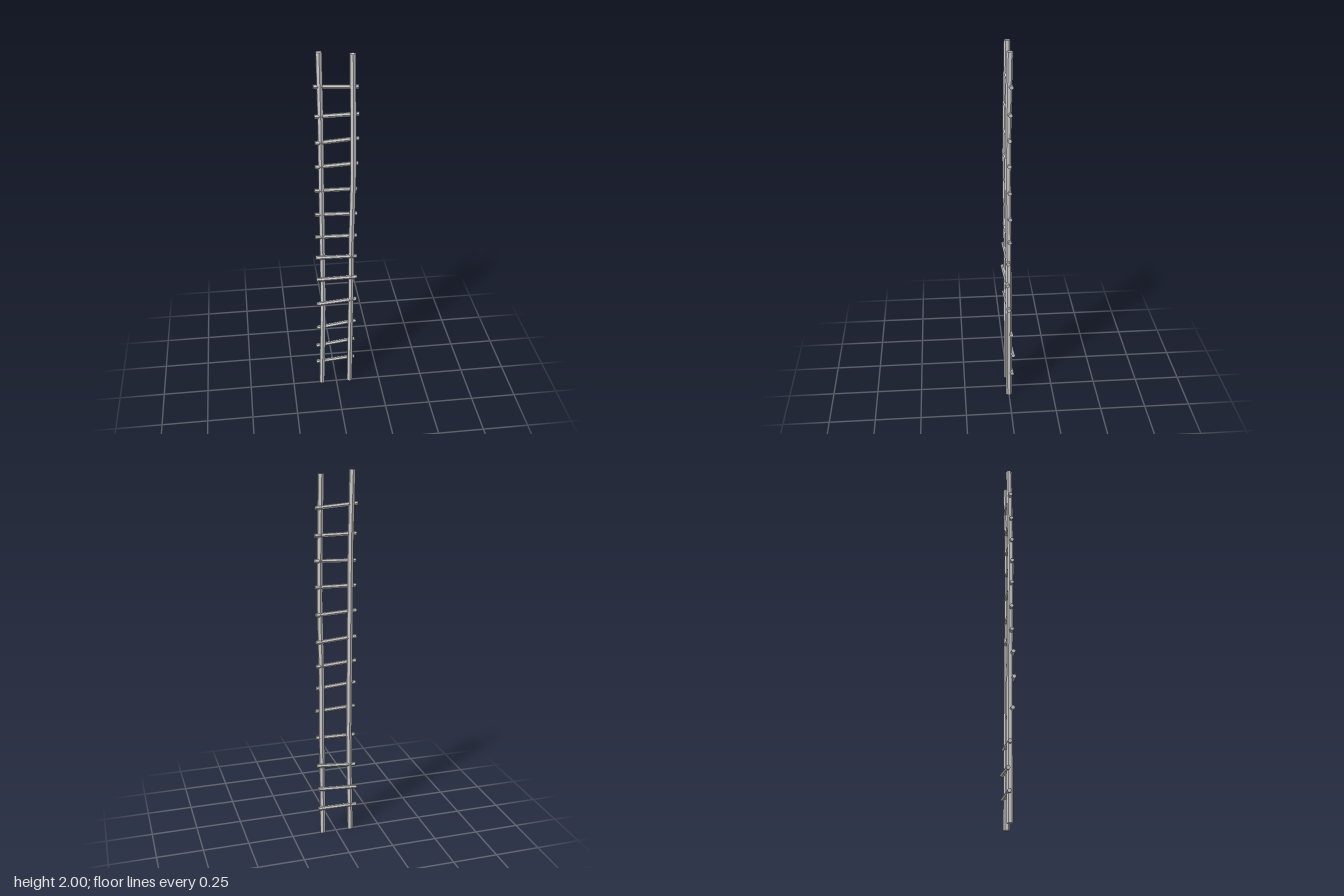
import * as THREE from 'three';

const material = new THREE.MeshStandardMaterial({ color: 0xcccccc, flatShading: true });

// Six-sided pole whose cross-sections follow a list of centres [x, y, z]
function makeRail(name, path, radius) {
  const geo = new THREE.CylinderGeometry(radius, radius, 1, 6, path.length - 1);
  const pos = geo.attributes.position;
  for (let i = 0; i < pos.count; i++) {
    const k = Math.round((pos.getY(i) + 0.5) * (path.length - 1));
    const [x, y, z] = path[k];
    pos.setXYZ(i, pos.getX(i) + x, y, pos.getZ(i) + z);
  }
  geo.computeVertexNormals();
  const mesh = new THREE.Mesh(geo, material);
  mesh.name = name;
  return mesh;
}

// Six-sided bar between two points
function makeRung(name, a, b, radius) {
  const dir = b.clone().sub(a);
  const geo = new THREE.CylinderGeometry(radius, radius, dir.length(), 6);
  const mesh = new THREE.Mesh(geo, material);
  mesh.position.copy(a).add(b).multiplyScalar(0.5);
  mesh.quaternion.setFromUnitVectors(new THREE.Vector3(0, 1, 0), dir.normalize());
  mesh.name = name;
  return mesh;
}

export function createModel() {
  const ladder = new THREE.Group();
  ladder.name = 'ladder';

  // Slightly crooked side rails
  ladder.add(makeRail('rightRail', [
    [-0.085, 0, 0], [-0.079, 0.3, 0.001], [-0.074, 0.6, 0.002], [-0.076, 0.95, 0.003],
    [-0.079, 1.4, 0.007], [-0.079, 1.65, 0.004], [-0.084, 2, -0.003],
  ], 0.0165));
  ladder.add(makeRail('leftRail', [
    [0.077, 0, 0], [0.078, 0.3, 0.001], [0.08, 0.6, 0.002], [0.079, 0.95, 0.003],
    [0.085, 1.35, 0.007], [0.082, 1.65, 0.004], [0.077, 1.985, -0.003],
  ], 0.0165));

  // Uneven rungs: height at -x end, height at +x end, depth, sideways shift
  const rungs = [
    [0.15, 0.16, -0.01, -0.005], [0.262, 0.283, -0.016, -0.004], [0.397, 0.42, -0.006, 0],
    [0.57, 0.58, 0.008, 0], [0.737, 0.732, 0.015, 0], [0.875, 0.863, 0.011, -0.003],
    [1.0, 0.988, 0.004, -0.003], [1.135, 1.121, 0.002, -0.003], [1.276, 1.268, 0.004, -0.003],
    [1.41, 1.415, 0.006, 0], [1.541, 1.551, 0.005, 0.002], [1.68, 1.68, 0.002, 0.001],
    [1.832, 1.818, -0.003, -0.003],
  ];
  rungs.forEach(([yRight, yLeft, z, shift], i) => {
    ladder.add(makeRung(`rung${i + 1}`,
      new THREE.Vector3(shift - 0.111, yRight, z + 0.006),
      new THREE.Vector3(shift + 0.111, yLeft, z - 0.006), 0.0115));
  });
  return ladder;
}
